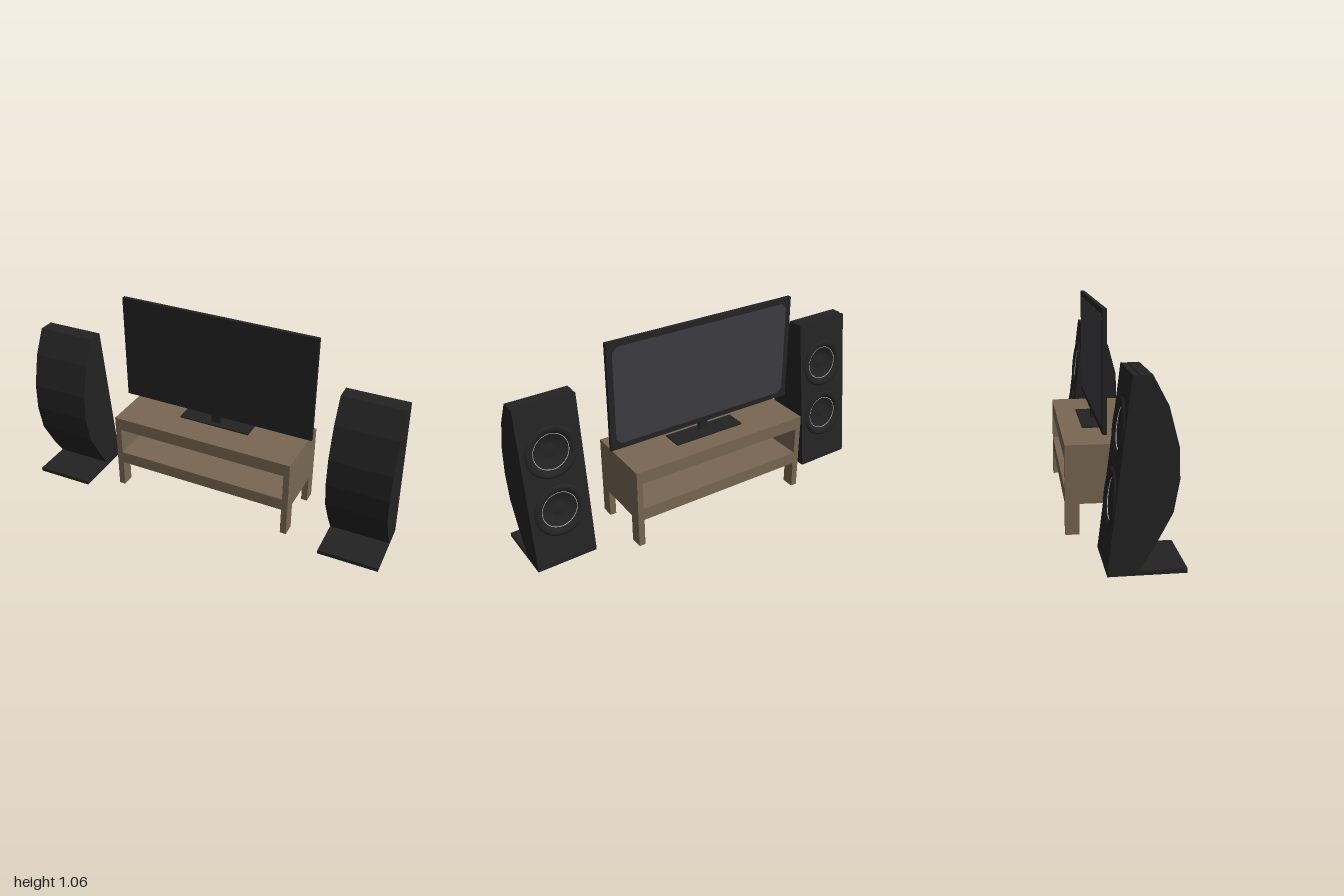
import * as THREE from 'three';

const mat = (name, color) => {
  const m = new THREE.MeshStandardMaterial({ color });
  m.name = name;
  return m;
};

export function createModel() {
  const black = mat('black', 0x232323);
  const wood = mat('wood', 0x786752);
  const glass = mat('screen grey', 0x3d3c42);
  const silver = mat('silver', 0xc8c8c8);

  const model = new THREE.Group();
  model.name = 'homeCinema';

  const add = (parent, name, geometry, material) => {
    const mesh = new THREE.Mesh(geometry, material);
    mesh.name = name;
    parent.add(mesh);
    return mesh;
  };
  // box given by its lower and upper corners
  const box = (parent, name, material, [x0, y0, z0], [x1, y1, z1]) => {
    const g = new THREE.BoxGeometry(x1 - x0, y1 - y0, z1 - z0);
    g.translate((x0 + x1) / 2, (y0 + y1) / 2, (z0 + z1) / 2);
    return add(parent, name, g, material);
  };
  const group = (name, parent) => {
    const g = new THREE.Group();
    g.name = name;
    parent.add(g);
    return g;
  };

  // Low bench: an open frame on four legs
  const bench = group('bench', model);
  const L = -0.525, R = 0.49, B = -0.24, F = 0.14;
  const frame = new THREE.Shape([[L, 0.155], [R, 0.155], [R, 0.44], [L, 0.44]].map(p => new THREE.Vector2(...p)));
  frame.holes.push(new THREE.Path(
    [[L + 0.032, 0.222], [L + 0.032, 0.37], [R - 0.032, 0.37], [R - 0.032, 0.222]].map(p => new THREE.Vector2(...p))));
  const frameGeo = new THREE.ExtrudeGeometry(frame, { depth: F - B, bevelEnabled: false });
  frameGeo.translate(0, 0, B);
  add(bench, 'benchFrame', frameGeo, wood);
  for (const x of [L, R - 0.034])
    for (const z of [B, F - 0.068])
      box(bench, 'benchLeg', wood, [x, 0.004, z], [x + 0.034, 0.155, z + 0.068]);

  // Television, its screen on the back side
  const tv = group('television', model);
  box(tv, 'tvBase', black, [-0.21, 0.44, -0.13], [0.19, 0.447, -0.02]);
  box(tv, 'tvNeck', black, [-0.035, 0.445, -0.066], [0.015, 0.5, -0.048]);
  box(tv, 'tvPanel', black, [-0.55, 0.49, -0.067], [0.53, 1.065, -0.046]);
  const sw = 0.51, sh = 0.258, c = 0.028;
  const screen = new THREE.Shape([
    [-sw + c, -sh], [sw - c, -sh], [sw, -sh + c], [sw, sh - c],
    [sw - c, sh], [-sw + c, sh], [-sw, sh - c], [-sw, -sh + c],
  ].map(p => new THREE.Vector2(...p)));
  const screenGeo = new THREE.ExtrudeGeometry(screen, { depth: 0.002, bevelEnabled: false });
  add(tv, 'screen', screenGeo, glass).position.set(-0.01, 0.778, -0.0685);

  // Speaker: bowed cabinet, leaning baffle with two drivers, foot plate
  const W = 0.315, thick = 0.03;
  const tilt = Math.atan2(0.1, 0.83), height = Math.hypot(0.1, 0.83);
  const profile = new THREE.Shape([
    [-0.14 + thick, 0.018], [-0.01, 0.018], [0.055, 0.12], [0.135, 0.27], [0.16, 0.41],
    [0.155, 0.55], [0.11, 0.72], [0.042, 0.848], [-0.04 + thick, 0.848],
  ].map(p => new THREE.Vector2(...p)));
  const cabinetGeo = new THREE.ExtrudeGeometry(profile, { depth: W, bevelEnabled: false });
  cabinetGeo.rotateY(-Math.PI / 2).translate(W / 2, 0, 0);

  const driverHeights = [0.29, 0.597].map(y => (y - 0.02) / Math.cos(tilt));
  const face = new THREE.Shape([[-W / 2, 0], [W / 2, 0], [W / 2, height], [-W / 2, height]].map(p => new THREE.Vector2(...p)));
  for (const s of driverHeights) face.holes.push(new THREE.Path().absarc(0, s, 0.122, 0, Math.PI * 2, true));
  const baffleGeo = new THREE.ExtrudeGeometry(face, { depth: thick + 0.003, bevelEnabled: false, curveSegments: 24 });

  // driver: raised rim, recessed cone and dust cap
  const driverGeo = new THREE.LatheGeometry([
    [0.134, -0.002], [0.132, 0.006], [0.122, 0.009], [0.108, 0.007], [0.098, 0.001],
    [0.092, -0.006], [0.084, -0.012], [0.045, -0.026], [0.03, -0.021], [0, -0.018],
  ].map(p => new THREE.Vector2(...p)), 40);
  driverGeo.rotateX(-Math.PI / 2);
  const trimGeo = new THREE.TorusGeometry(0.091, 0.0018, 6, 48);

  const addSpeaker = (name, x, z) => {
    const speaker = group(name, model);
    speaker.position.set(x, 0, z);
    speaker.rotation.y = 0.016;
    box(speaker, 'footPlate', black, [-W / 2, 0, -0.14], [W / 2, 0.02, 0.2]);
    add(speaker, 'cabinet', cabinetGeo, black);
    const baffle = group('baffle', speaker);
    baffle.position.set(0, 0.018, -0.14);
    baffle.rotation.x = tilt;
    add(baffle, 'bafflePanel', baffleGeo, black);
    for (const s of driverHeights) {
      add(baffle, 'driver', driverGeo, black).position.y = s;
      add(baffle, 'driverTrim', trimGeo, silver).position.set(0, s, 0.006);
    }
  };
  addSpeaker('leftSpeaker', 0.84, 0);
  addSpeaker('rightSpeaker', -0.84, 0.038);

  return model;
}
